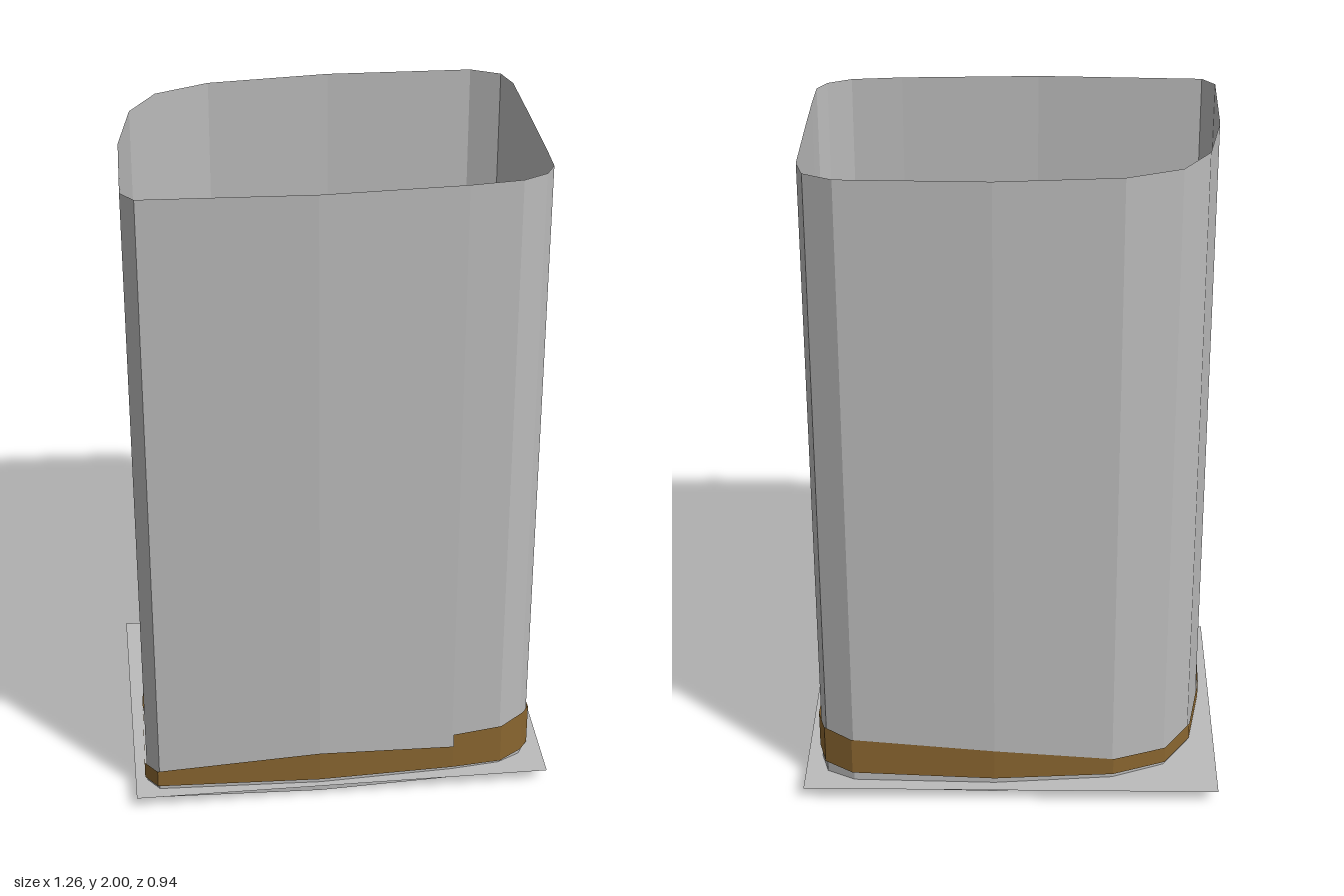
import * as THREE from 'three';

const FLOOR = 0.042, DECK = 0.125;

const grey = new THREE.MeshStandardMaterial({ color: 0xbcbcbc, side: THREE.DoubleSide });
grey.name = 'concrete grey';
const brown = new THREE.MeshStandardMaterial({ color: 0x8a6630, side: THREE.DoubleSide });
brown.name = 'earth brown';

// Surface through rows of [x, y, z] points
function loft(rows, flat) {
  const n = rows[0].length, index = [];
  for (let r = 0; r < rows.length - 1; r++) {
    for (let i = 0; i < n - 1; i++) {
      const a = r * n + i, b = a + n;
      index.push(a, a + 1, b, a + 1, b + 1, b);
    }
  }
  let geo = new THREE.BufferGeometry();
  geo.setAttribute('position', new THREE.Float32BufferAttribute(rows.flat(2), 3));
  geo.setIndex(index);
  if (flat) geo = geo.toNonIndexed();
  geo.computeVertexNormals();
  return geo;
}

// Solid raised straight up from a plan outline of [x, z] points
function slab(plan, y0, y1) {
  const shape = new THREE.Shape(plan.map(([x, z]) => new THREE.Vector2(x, -z)));
  return new THREE.ExtrudeGeometry(shape, { depth: y1 - y0, bevelEnabled: false })
    .rotateX(-Math.PI / 2).translate(0, y0, 0);
}

// Side profile of [x, y] points, extruded across a width and centred
function profile(points, width) {
  const shape = new THREE.Shape(points.map(([x, y]) => new THREE.Vector2(x, y)));
  return new THREE.ExtrudeGeometry(shape, { depth: width, bevelEnabled: false })
    .translate(0, 0, -width / 2);
}

// Quarter pipe: flat deck followed by a concave ramp along +x
function quarterPipe(deck, run, height, width) {
  const pts = [[0, 0], [0, height], [deck, height]];
  for (let i = 1; i <= 8; i++) {
    const t = i / 8;
    pts.push([deck + run * t, Math.max(0.003, height * (1 - t) ** 2)]);
  }
  pts.push([deck + run, 0]);
  return profile(pts, width);
}

// Quarter-circle corner in plan, from the z side round to the x side
function corner(cx, cz, r, sign) {
  return Array.from({ length: 9 }, (_, i) => {
    const a = (i / 8) * Math.PI / 2;
    return [cx + r * Math.sin(a), cz + sign * r * Math.cos(a)];
  });
}

export function createModel() {
  const group = new THREE.Group();
  const add = (name, geo, mat, x = 0, y = 0, z = 0, ry = 0) => {
    const m = new THREE.Mesh(geo, mat);
    m.name = name;
    m.position.set(x, y, z);
    m.rotation.y = ry;
    group.add(m);
    return m;
  };

  // Outline: x, z, band top, band bottom (a repeated point makes a step)
  const outline = [
    [0.565, -0.38, 0.205, 0.08], [0.48, -0.425, 0.19, 0.07], [0.05, -0.435, 0.16, 0.06],
    [-0.31, -0.4, 0.11, 0.055], [-0.47, -0.33, 0.105, 0.052], [-0.55, -0.2, 0.105, 0.052],
    [-0.59, 0.04, 0.105, 0.052], [-0.597, 0.38, 0.11, 0.055], [-0.56, 0.43, 0.11, 0.055],
    [-0.07, 0.45, 0.153, 0.055], [0.34, 0.43, 0.13, 0.052], [0.34, 0.43, 0.175, 0.052],
    [0.49, 0.412, 0.182, 0.05], [0.56, 0.375, 0.2, 0.06], [0.588, 0.325, 0.185, 0.05],
    [0.59, 0.2, 0.16, 0.052], [0.59, 0.2, 0.125, 0.052], [0.59, 0, 0.15, 0.055],
    [0.588, -0.3, 0.205, 0.085], [0.565, -0.38, 0.205, 0.08],
  ];
  add('outerWall', loft([
    outline.map(([x, z]) => [x, 0.01, z]),
    outline.map(([x, z]) => [x, 2, z]),
  ], true), grey);
  add('earthBand', loft([
    outline.map(([x, z, , b]) => [x * 1.01, b, z * 1.01]),
    outline.map(([x, z, t]) => [x * 1.01, t, z * 1.01]),
  ], true), brown);

  // Ground sheet
  add('ground', new THREE.PlaneGeometry(1.265, 0.945).rotateX(-Math.PI / 2), grey, 0, FLOOR, -0.002);

  // Corner bowls: deck, curved transition and coping; edge points are x, z
  const backArc = corner(0.43, -0.215, 0.1, -1);
  const frontArc = corner(0.44, 0.23, 0.088, 1);
  const bowls = [
    { name: 'back', edge: [[0.26, -0.315], [0.34, -0.315], ...backArc, [0.53, -0.115], [0.53, 0.02]],
      deck: [[0.26, -0.315], ...backArc, [0.53, -0.115], [0.586, -0.115], [0.583, -0.3],
        [0.56, -0.375], [0.48, -0.42], [0.26, -0.428]] },
    { name: 'front', edge: [[0.33, 0.318], [0.38, 0.318], ...frontArc, [0.528, 0.22], [0.528, 0.122]],
      deck: [[0.33, 0.318], ...frontArc, [0.586, 0.23], [0.583, 0.325], [0.555, 0.37],
        [0.488, 0.405], [0.34, 0.425]] },
  ];
  for (const { name, edge, deck } of bowls) {
    const last = edge.length - 1;
    const heights = edge.map((_, i) => (i === last ? FLOOR + 0.012 : DECK));
    add(name + 'Deck', slab(deck, FLOOR, DECK), grey);

    // Transition sweeps inward from the coping to the floor
    const rows = Array.from({ length: 7 }, (_, r) => {
      const t = r / 6;
      return edge.map(([x, z], i) => {
        const p = edge[Math.max(0, i - 1)], q = edge[Math.min(last, i + 1)];
        const len = Math.hypot(q[0] - p[0], q[1] - p[1]);
        const side = name === 'back' ? 1 : -1;
        const w = (i === 0 ? 0.004 : 0.04) * t;
        return [
          x - side * w * (q[1] - p[1]) / len,
          FLOOR + 0.001 + (heights[i] - FLOOR) * (1 - t) ** 2,
          z + side * w * (q[0] - p[0]) / len,
        ];
      });
    });
    add(name + 'Transition', loft(rows), grey);

    const path = new THREE.CurvePath();
    const pts = edge.map(([x, z], i) => new THREE.Vector3(x, heights[i], z));
    for (let i = 0; i < last; i++) path.add(new THREE.LineCurve3(pts[i], pts[i + 1]));
    add(name + 'Coping', new THREE.TubeGeometry(path, 60, 0.005, 6), brown);
  }

  // Side ramps sloping down from the decks to the gap
  const slope = (len) => profile([[0, 0], [0, DECK - FLOOR], [len, 0.002], [len, 0]], 0.058);
  add('backSideRamp', slope(0.135), grey, 0.559, FLOOR, -0.115, -Math.PI / 2);
  add('frontSideRamp', slope(0.1), grey, 0.559, FLOOR, 0.222, Math.PI / 2);

  // Small quarter pipes
  add('leftBackRamp', quarterPipe(0.063, 0.09, 0.06, 0.094), brown, -0.475, FLOOR, -0.203, -Math.PI / 2 - 0.17);
  add('leftFrontRamp', quarterPipe(0.063, 0.085, 0.06, 0.094), brown, -0.527, FLOOR, 0.13, Math.PI / 2 - 0.17);
  add('cornerRamp', quarterPipe(0.054, 0.083, 0.06, 0.058), brown, -0.56, FLOOR, 0.342);

  // Curved ramps either side of the pyramid
  add('pyramidRampRight', quarterPipe(0.004, 0.115, 0.045, 0.06), brown, -0.084, FLOOR, 0.358, Math.PI - 0.03);
  add('pyramidRampLeft', quarterPipe(0.004, 0.117, 0.045, 0.06), brown, 0.056, FLOOR, 0.352, 0.05);

  // Flat-topped pyramid with a domed cap
  const ring = (x0, x1, z0, z1, y) => [[x0, y, z0], [x0, y, z1], [x1, y, z1], [x1, y, z0], [x0, y, z0]];
  add('pyramid', loft([
    ring(-0.12, 0.1, 0.237, 0.44, FLOOR),
    ring(-0.075, 0.058, 0.275, 0.4, FLOOR + 0.045),
    ring(-0.01, -0.01, 0.335, 0.335, FLOOR + 0.045),
  ], true), grey);
  const dome = (r, h) => new THREE.SphereGeometry(r, 28, 8, 0, Math.PI * 2, 0, Math.PI / 2).scale(1, h / r, 1);
  add('pyramidDome', dome(0.057, 0.03), grey, -0.01, FLOOR + 0.044, 0.357);

  // Central ring with a dome inside
  add('centreRing', new THREE.TorusGeometry(0.051, 0.007, 8, 36).rotateX(Math.PI / 2), brown, -0.01, FLOOR + 0.015, -0.026);
  add('centreDome', dome(0.047, 0.03), grey, -0.01, FLOOR, -0.026);

  // Thin sloping ledge, its low end dipping through the ground
  add('slopingLedge', profile([[0.18, 0], [0.455, 0.06], [0.455, 0.09], [0.18, 0.05]], 0.008), grey, 0, 0, -0.347);

  return group;
}
